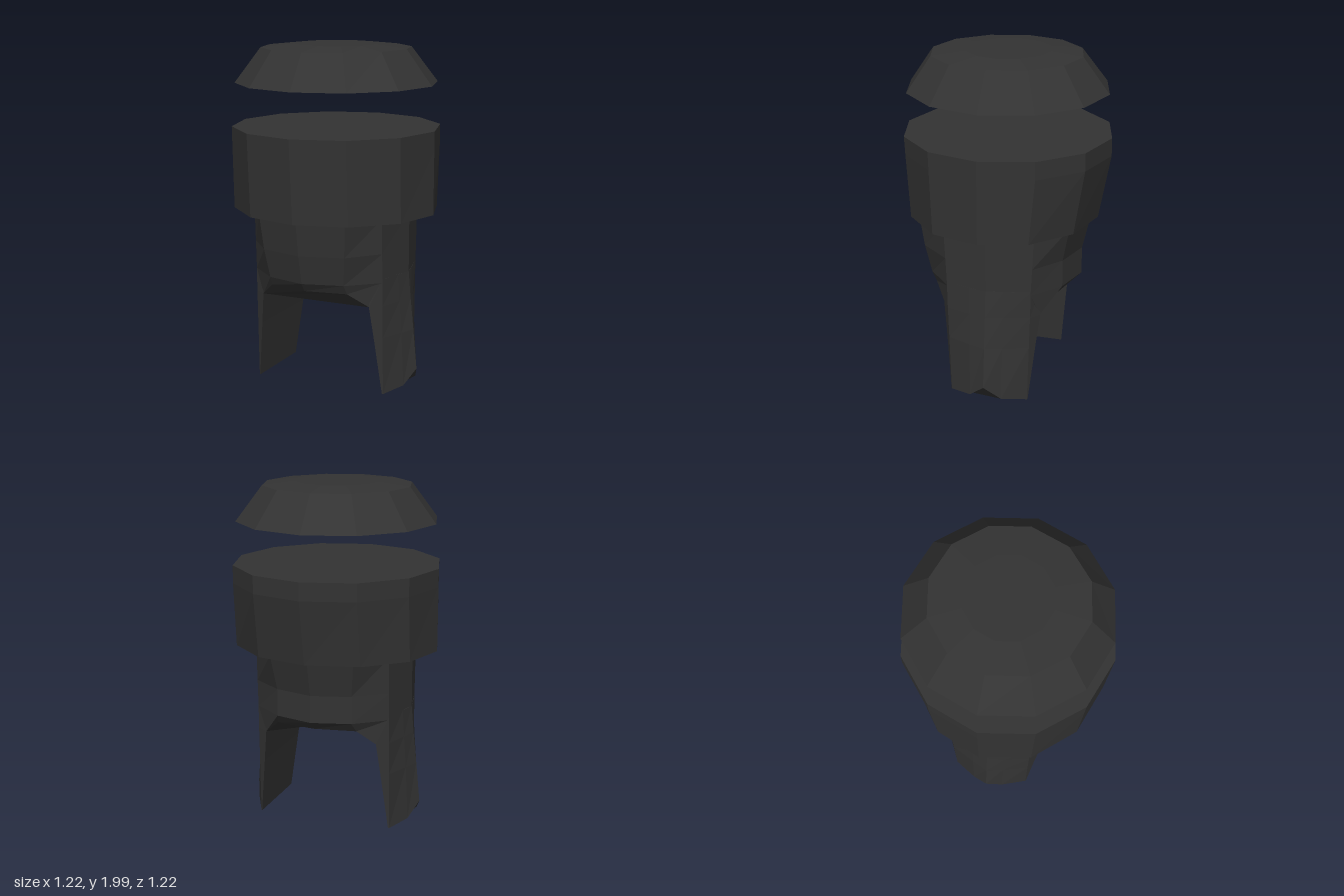
import * as THREE from 'three';

const material = new THREE.MeshStandardMaterial({
  color: 0x333333, flatShading: true, side: THREE.DoubleSide,
});

// Joins rings of [x, y, z] points (bottom to top, anticlockwise from above).
// bottom / top: index of the corner each closing fan starts from, or -1 for open.
function loft(name, rings, bottom = 0, top = 0) {
  const n = rings[0].length, index = [];
  for (let i = 0; i < rings.length - 1; i++) {
    for (let j = 0; j < n; j++) {
      const k = (j + 1) % n, a = i * n + j, b = i * n + k;
      index.push(a, b, b + n, a, b + n, a + n);
    }
  }
  const last = (rings.length - 1) * n;
  for (let j = 1; j < n - 1; j++) {
    if (bottom >= 0) index.push(bottom, (bottom + j + 1) % n, (bottom + j) % n);
    if (top >= 0) index.push(last + top, last + (top + j) % n, last + (top + j + 1) % n);
  }
  const indexed = new THREE.BufferGeometry();
  indexed.setAttribute('position', new THREE.Float32BufferAttribute(rings.flat(2), 3));
  indexed.setIndex(index);
  const geometry = indexed.toNonIndexed();
  geometry.computeVertexNormals();
  const mesh = new THREE.Mesh(geometry, material);
  mesh.name = name;
  return mesh;
}

// Twelve-sided ring with separate side, front and back radii
function ring(y, side, front = side, back = side) {
  return Array.from({ length: 12 }, (_, j) => {
    const a = (j * Math.PI) / 6, c = Math.cos(a);
    return [side * Math.sin(a), y, c * (c > 0 ? front : back)];
  });
}

// Mirrors a quarter (front centre to side centre) into a full ring
function bodyRing(front, back) {
  const mirror = ([x, y, z], sx, sz) => [x * sx, y, z * sz];
  const [f0, f1, f2, side] = front, [b0, b1, b2] = back;
  return [
    f0, f1, f2, side,
    mirror(b2, 1, -1), mirror(b1, 1, -1), mirror(b0, 1, -1), mirror(b1, -1, -1), mirror(b2, -1, -1),
    mirror(side, -1, 1), mirror(f2, -1, 1), mirror(f1, -1, 1),
  ];
}

// Body quarter: rounded front, then a corner and a shallow side ridge
const quarter = (y, r, cornerZ) => [
  [0, y, r], [r * 0.5, y, r * 0.866], [0.405, y, cornerZ], [0.463, y, 0],
];

// Leg section: inner face, two corners and an outer ridge with a point on each slope
function legRing(y, inner, innerZ, cornerZ, ridge, slopeY = y, ridgeY = y) {
  const corner = 0.405, slope = corner + (ridge - corner) * 0.62, slopeZ = cornerZ * 0.41;
  return [
    [inner, y, innerZ], [corner, y, cornerZ], [slope, slopeY, slopeZ], [ridge, ridgeY, 0],
    [slope, slopeY, -slopeZ], [corner, y, -cornerZ], [inner, y, -innerZ],
  ];
}

export function createModel() {
  const model = new THREE.Group();
  model.name = 'model';

  // Floating hollow cap
  model.add(loft('cap', [
    ring(1.777, 0.59), ring(1.98, 0.435, 0.45), ring(2.0, 0.25),
  ], -1, 0));

  // Wide drum, tapering to the front and back
  model.add(loft('drum', [
    ring(1.043, 0.61, 0.575, 0.54),
    ring(1.42, 0.61, 0.603, 0.61),
    ring(1.525, 0.61),
  ]));

  // Body with a bevelled lower lip and closed underside
  const under = (r) => [[0, 0.63, r], [0.24, 0.625, r * 0.866], [0.34, 0.54, 0.29], [0.35, 0.54, 0]];
  model.add(loft('body', [
    bodyRing(under(0.43), under(0.4)),
    bodyRing(quarter(0.68, 0.465, 0.25), quarter(0.68, 0.45, 0.25)),
    bodyRing(quarter(0.85, 0.505, 0.258), quarter(0.84, 0.45, 0.258)),
    bodyRing(quarter(1.05, 0.535, 0.268), quarter(1.05, 0.5, 0.268)),
  ], 10, 0));

  // Pair of legs, ridged on the outside and cut to a point
  for (const side of ['left', 'right']) {
    const leg = loft(side + 'Leg', [
      legRing(0.01, 0.4, 0.235, 0.232, 0.52, 0.03, 0.11),
      legRing(0.35, 0.362, 0.27, 0.242, 0.497),
      legRing(0.54, 0.34, 0.292, 0.248, 0.477),
      legRing(0.7, 0.335, 0.29, 0.251, 0.463),
    ]);
    if (side === 'right') leg.rotation.y = Math.PI;
    model.add(leg);
  }
  return model;
}
